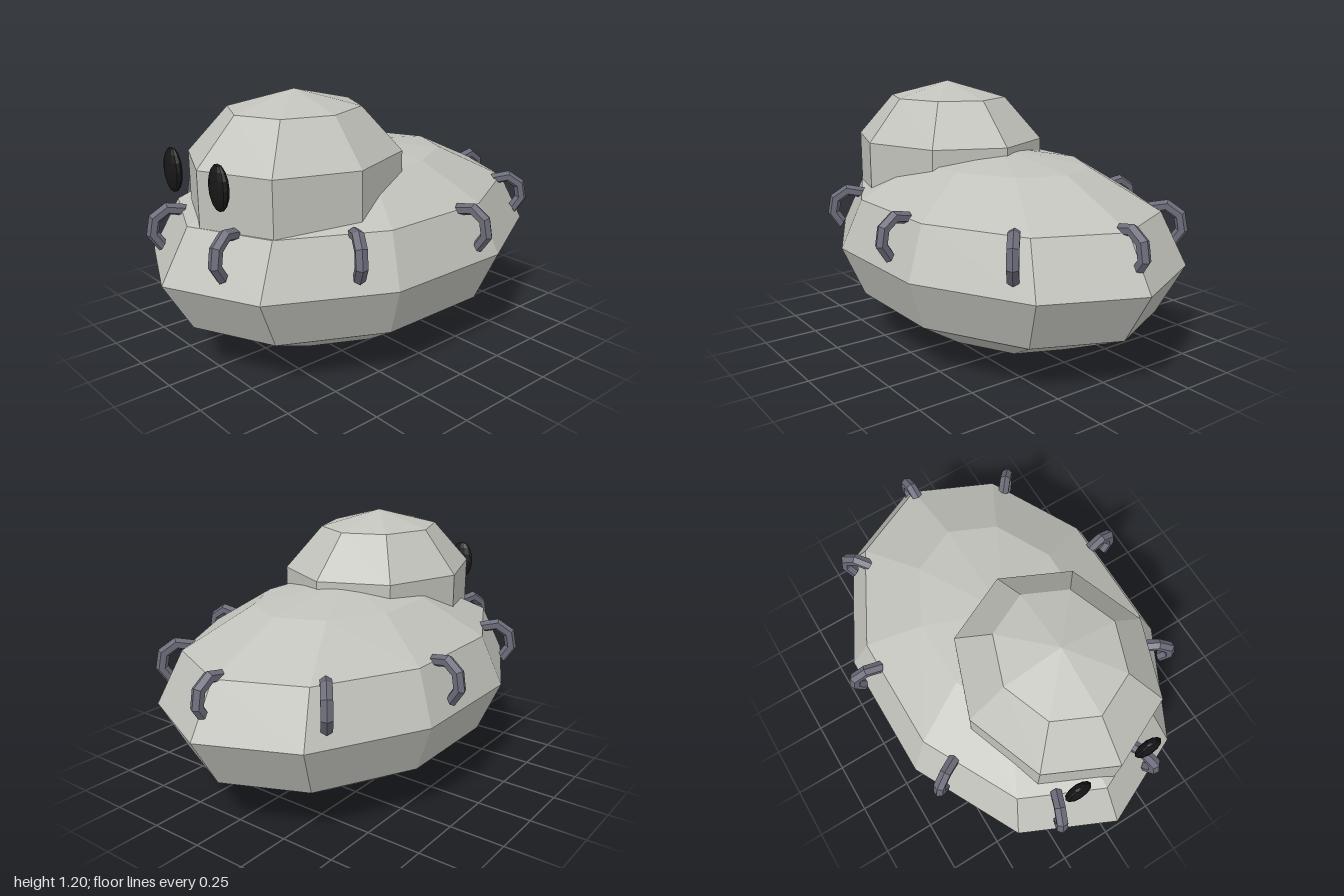
import * as THREE from 'three';

const mat = (name, color, flat = true) => {
  const m = new THREE.MeshStandardMaterial({ color, flatShading: flat });
  m.name = name;
  return m;
};

export function createModel() {
  const model = new THREE.Group();
  model.name = 'rockCreature';
  const stone = mat('paleStone', 0xc2c2bc);
  const iron = mat('greyIron', 0x6c6c7a);
  const black = mat('black', 0x171717);

  // faceted ellipsoid placed at a point
  const ellipsoid = (name, material, segs, radii, pos) => {
    const mesh = new THREE.Mesh(new THREE.SphereGeometry(1, ...segs).scale(...radii), material);
    mesh.name = name;
    mesh.position.set(...pos);
    model.add(mesh);
  };

  ellipsoid('body', stone, [10, 6], [1, 0.456, 0.71], [0, 0.457, 0]);
  ellipsoid('head', stone, [8, 5], [0.518, 0.393, 0.458], [-0.347, 0.807, 0.055]);
  ellipsoid('rightEye', black, [12, 8], [0.028, 0.097, 0.063], [-0.83, 0.888, 0.2]);
  ellipsoid('leftEye', black, [12, 8], [0.028, 0.097, 0.063], [-0.83, 0.888, -0.15]);

  // ring of nine half-loop handles, each standing in a radial plane
  const handleGeo = new THREE.TorusGeometry(0.09, 0.028, 6, 4, Math.PI);
  handleGeo.rotateZ(-Math.PI / 2 + 0.58);
  iron.side = THREE.DoubleSide;
  for (let i = 0; i < 9; i++) {
    const a = (i / 9) * Math.PI * 2;
    const handle = new THREE.Mesh(handleGeo, iron);
    handle.name = `handle${i + 1}`;
    handle.position.set(Math.cos(a) * 0.865, 0.61, Math.sin(a) * 0.64);
    handle.rotation.y = -a;
    model.add(handle);
  }
  return model;
}
